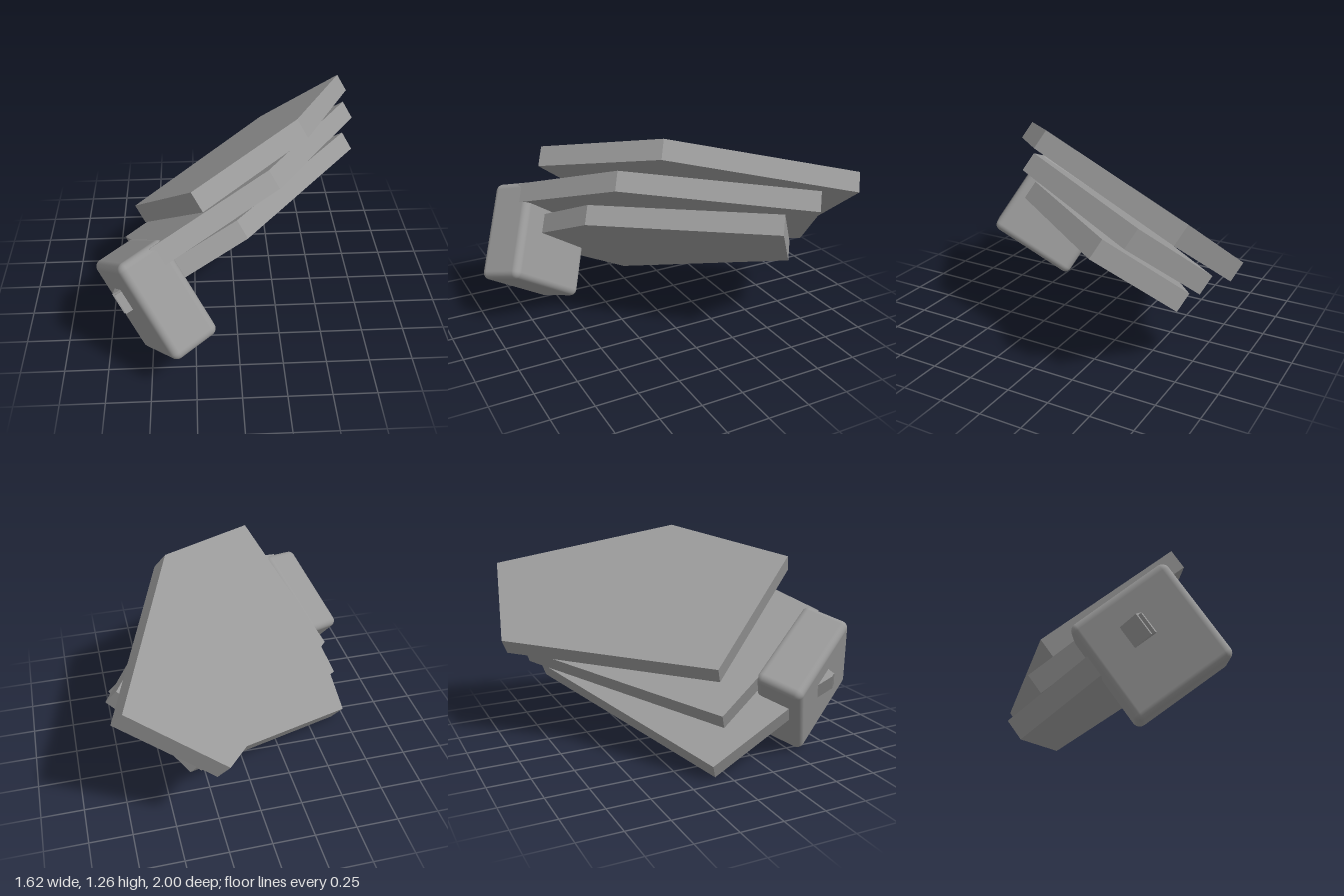
import * as THREE from 'three';
import { RoundedBoxGeometry } from 'three/addons/geometries/RoundedBoxGeometry.js';

// Extrude an outline upwards (+y); outline y runs towards -z
function slab(points, height, base) {
  const shape = new THREE.Shape(points.map(([x, y]) => new THREE.Vector2(x, y)));
  const geometry = new THREE.ExtrudeGeometry(shape, { depth: height, bevelEnabled: false });
  return geometry.rotateX(-Math.PI / 2).translate(0, base, 0);
}

export function createModel() {
  const model = new THREE.Group();
  model.name = 'fannedPlates';
  const grey = new THREE.MeshStandardMaterial({ color: 0x999999 });
  grey.name = 'grey';

  // Tilted frame: its y axis is the normal of the plates, its origin the block centre
  const frame = new THREE.Group();
  frame.name = 'tiltedAssembly';
  const up = new THREE.Vector3(-0.489, 0.791, -0.367).normalize();
  const along = new THREE.Vector3(0.813, 0.244, -0.528);
  const side = new THREE.Vector3().crossVectors(along, up).normalize();
  along.crossVectors(up, side);
  frame.quaternion.setFromRotationMatrix(new THREE.Matrix4().makeBasis(along, up, side));
  frame.position.set(-0.475, 0.424, 0.612);
  model.add(frame);

  const add = (name, geometry) => {
    const mesh = new THREE.Mesh(geometry, grey);
    mesh.name = name;
    frame.add(mesh);
    return mesh;
  };

  // Three identical five-sided plates, each turned 0.2 rad further
  const plate = slab([[0, 0], [1.128, 0], [1.128, 0.632], [-0.05, 1.164], [-0.626, 0.468]], 0.12, -0.12);
  [
    ['lowerPlate', 0.565, 0.135, 0.248],
    ['middlePlate', 0.833, 0.285, 0.358],
    ['upperPlate', 1.127, 0.435, 0.376],
  ].forEach(([name, x, y, z], i) => {
    const mesh = add(name, plate);
    mesh.position.set(x, y, z);
    mesh.rotation.y = 0.365 + 0.2 * i;
  });

  // Rounded end block
  add('endBlock', new RoundedBoxGeometry(0.29, 0.6, 0.6, 4, 0.042));

  // Small wedge on the outer face of the block
  add('wedge', slab([[-0.135, -0.05], [-0.135, 0.11], [-0.19, -0.01]], 0.128, 0.017));

  return model;
}
